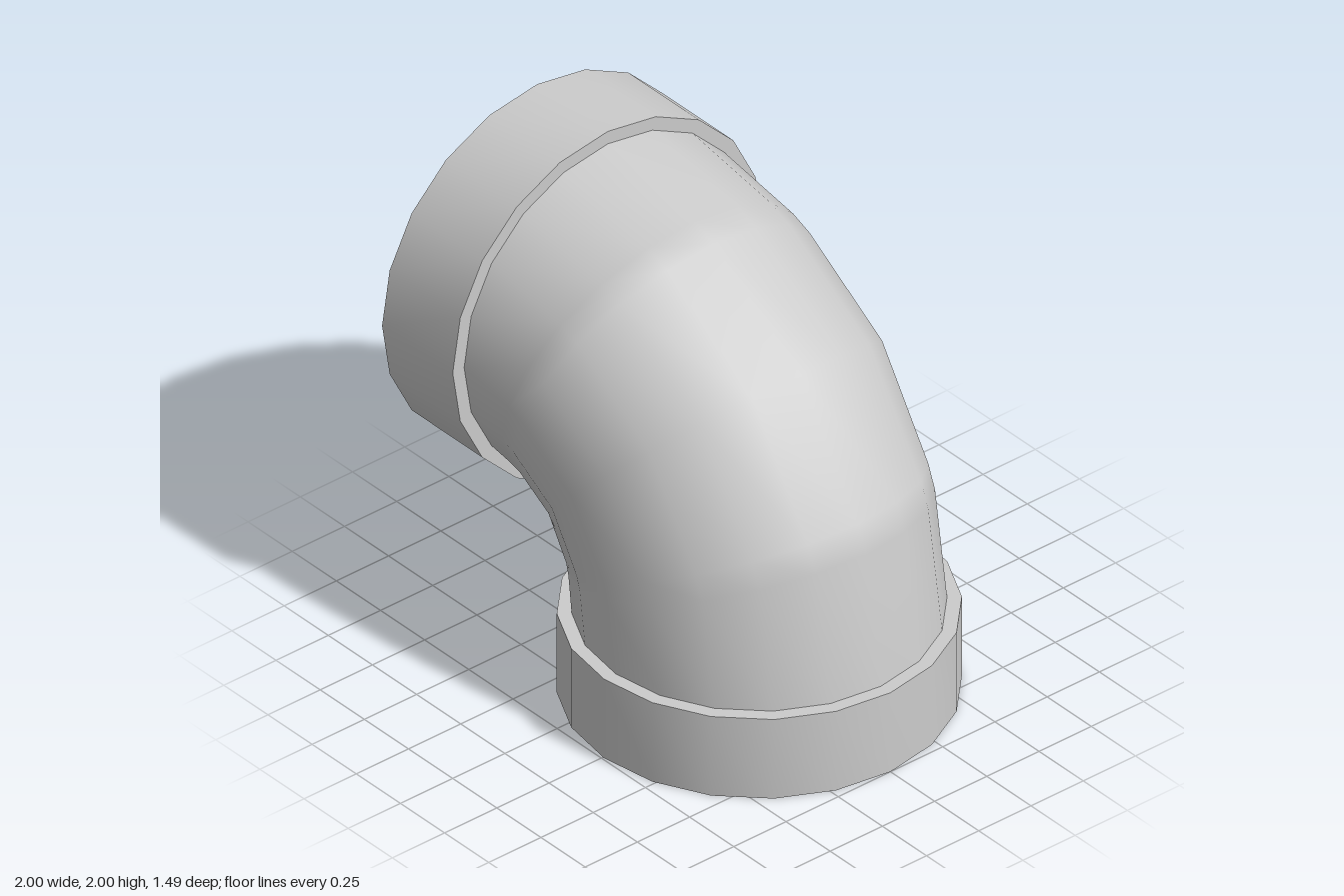
import * as THREE from 'three';
import { toCreasedNormals } from 'three/addons/utils/BufferGeometryUtils.js';

const SIDES = 20;
const COLLAR_R = 0.7425, PIPE_R = 0.688, BORE_R = 0.57;
const AXIS_X = 0.2575, AXIS_Y = 1.2575; // axes of the two openings

const material = new THREE.MeshStandardMaterial({ color: 0xcccccc });

// Rings of the bend, each [inside x, inside y, outside x, outside y]
const half = [
  [-0.6, 0.57, -0.6, 1.945],
  [-0.593, 0.569, -0.11, 1.86],
  [-0.56, 0.565, 0, 1.815],
];
const mirrored = half.map(([a, b, c, d]) => [b - 1, a + 1, d - 1, c + 1]).reverse();
mirrored[2] = [AXIS_X - PIPE_R, 0.35, AXIS_X + PIPE_R, 0.35];
const bendRings = [...half, [-0.478, 0.522, 0.495, 1.495], ...mirrored];

// Skin through the rings; radius sets the pipe size, inward flips the faces
function sweep(rings, radius, inward) {
  const positions = [], index = [];
  const k = radius / PIPE_R;
  rings.forEach(([ix, iy, ox, oy]) => {
    for (let j = 0; j < SIDES; j++) {
      const a = (j / SIDES) * Math.PI * 2;
      const c = Math.cos(a) * k;
      positions.push(
        (ix + ox) / 2 + ((ox - ix) / 2) * c,
        (iy + oy) / 2 + ((oy - iy) / 2) * c,
        radius * Math.sin(a)
      );
    }
  });
  for (let i = 0; i < rings.length - 1; i++) {
    for (let j = 0; j < SIDES; j++) {
      const a = i * SIDES + j, b = i * SIDES + ((j + 1) % SIDES);
      const c = a + SIDES, d = b + SIDES;
      if (inward) index.push(a, c, b, b, c, d);
      else index.push(a, b, c, b, d, c);
    }
  }
  const geometry = new THREE.BufferGeometry();
  geometry.setAttribute('position', new THREE.Float32BufferAttribute(positions, 3));
  geometry.setIndex(index);
  geometry.computeVertexNormals();
  return geometry;
}

// Socket collar: end face, outer wall and shoulder
function collar(length) {
  const profile = [
    [BORE_R, 0], [COLLAR_R, 0], [COLLAR_R, length], [PIPE_R - 0.02, length],
  ].map(([r, y]) => new THREE.Vector2(r, y));
  return toCreasedNormals(new THREE.LatheGeometry(profile, SIDES), Math.PI / 6);
}

export function createModel() {
  const model = new THREE.Group();
  model.name = 'pipeElbow';
  const add = (name, geometry) => {
    const mesh = new THREE.Mesh(geometry, material);
    mesh.name = name;
    model.add(mesh);
    return mesh;
  };

  add('bend', sweep(bendRings, PIPE_R, false));

  // Bore runs straight through both collars and around the bend
  const boreRings = [
    [-1, AXIS_Y - PIPE_R, -1, AXIS_Y + PIPE_R],
    ...bendRings,
    [AXIS_X - PIPE_R, 0, AXIS_X + PIPE_R, 0],
  ];
  add('bore', sweep(boreRings, BORE_R, true));

  add('bottomCollar', collar(0.35)).position.set(AXIS_X, 0, 0);

  const side = add('sideCollar', collar(0.4));
  side.rotation.z = -Math.PI / 2;
  side.position.set(-1, AXIS_Y, 0);

  return model;
}
